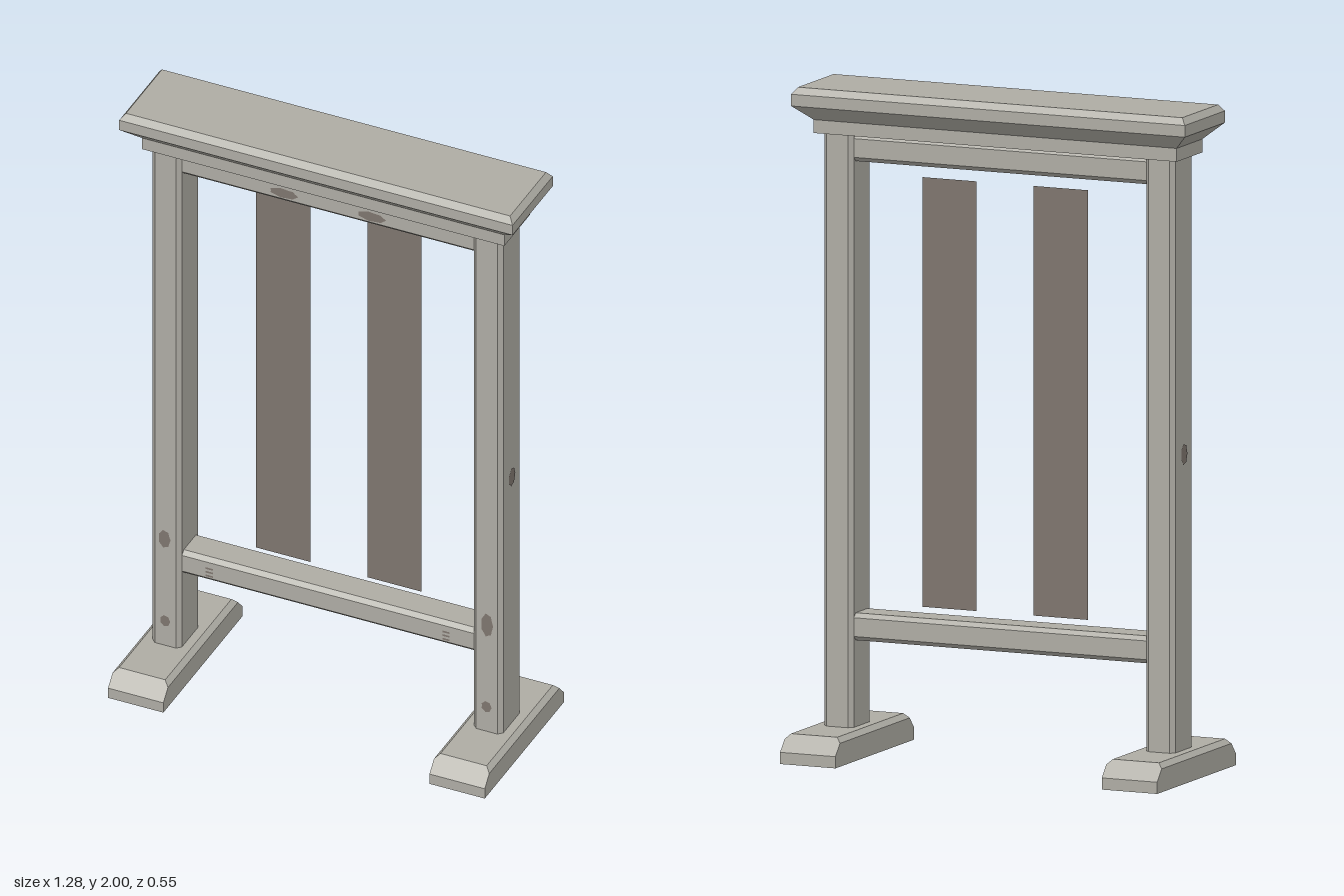
import * as THREE from 'three';
import { ConvexGeometry } from 'three/addons/geometries/ConvexGeometry.js';

const stone = new THREE.MeshStandardMaterial({ color: 0xaeaca4 });
stone.name = 'weathered grey wood';
const brown = new THREE.MeshStandardMaterial({ color: 0x7e756e, side: THREE.DoubleSide });
brown.name = 'dull brown';

// Solid through stacked rectangles: [y, half width, half depth]
function stacked(levels) {
  const points = [];
  for (const [y, hx, hz] of levels)
    for (const sx of [-1, 1]) for (const sz of [-1, 1]) points.push(new THREE.Vector3(sx * hx, y, sz * hz));
  return new ConvexGeometry(points);
}

// Beam along z with chamfered long edges, centred on the origin
function beam(w, h, length, c) {
  const x = w / 2, y = h / 2;
  const shape = new THREE.Shape([
    [x, -y + c], [x, y - c], [x - c, y], [-x + c, y],
    [-x, y - c], [-x, -y + c], [-x + c, -y], [x - c, -y],
  ].map(p => new THREE.Vector2(...p)));
  const g = new THREE.ExtrudeGeometry(shape, { depth: length, bevelEnabled: false });
  return g.translate(0, 0, -length / 2);
}

// Slightly ragged flat spot
function spot(w, h) {
  const points = [];
  for (let i = 0; i < 14; i++) {
    const a = i / 14 * Math.PI * 2, r = 1 - 0.12 * (i % 2);
    points.push(new THREE.Vector2(Math.cos(a) * r * w / 2, Math.sin(a) * r * h / 2));
  }
  return new THREE.ShapeGeometry(new THREE.Shape(points));
}

export function createModel() {
  const model = new THREE.Group();
  model.name = 'standing frame';
  const add = (name, geometry, material, x, y, z) => {
    const mesh = new THREE.Mesh(geometry, material);
    mesh.name = name;
    mesh.position.set(x, y, z);
    model.add(mesh);
    return mesh;
  };

  // Moulded top
  add('cap', stacked([[1.9, 0.59, 0.09], [1.945, 0.64, 0.14], [1.98, 0.64, 0.14], [2, 0.625, 0.125]]), stone, 0, 0, 0);
  add('capBoard', new THREE.BoxGeometry(1.18, 0.04, 0.18), stone, 0, 1.88, 0);

  // Rails between the posts
  for (const [name, y] of [['topRail', 1.818], ['bottomRail', 0.385]])
    add(name, beam(0.11, 0.082, 0.96, 0.013).rotateY(Math.PI / 2), stone, 0, y, 0);

  for (const s of [-1, 1]) {
    const side = s > 0 ? 'left' : 'right';
    // Feet, posts and hanging slats
    add(side + 'Foot', stacked([[0, 0.09, 0.275], [0.035, 0.09, 0.275], [0.07, 0.09, 0.2435], [0.085, 0.075, 0.23]]),
      stone, s * 0.523, 0, 0);
    add(side + 'Post', beam(0.095, 0.137, 1.78, 0.013).rotateX(Math.PI / 2), stone, s * 0.523, 0.972, 0);
    add(side + 'Slat', new THREE.PlaneGeometry(0.176, 1.285), brown, s * 0.181, 1.098, -0.02);

    // Worn marks on the outer sides and fronts
    add(side + 'SideMark', spot(0.045, 0.065), brown, s * 0.573, 0.97, 0).rotation.y = s * Math.PI / 2;
    add(side + 'PostMark', spot(0.04, s > 0 ? 0.085 : 0.065), brown, s * 0.525, 0.468, 0.0715);
    add(side + 'LowMark', spot(0.034, 0.04), brown, s * 0.523, 0.175, 0.0715);
    add(side + 'TopRailMark', spot(0.095, 0.034), brown, s * 0.143, 1.812, 0.058);
    for (const dy of [-0.013, 0, 0.013])
      add(side + 'RailScratch', new THREE.PlaneGeometry(0.024, 0.006), brown, s * 0.385, 0.38 + dy, 0.058);
  }
  return model;
}
